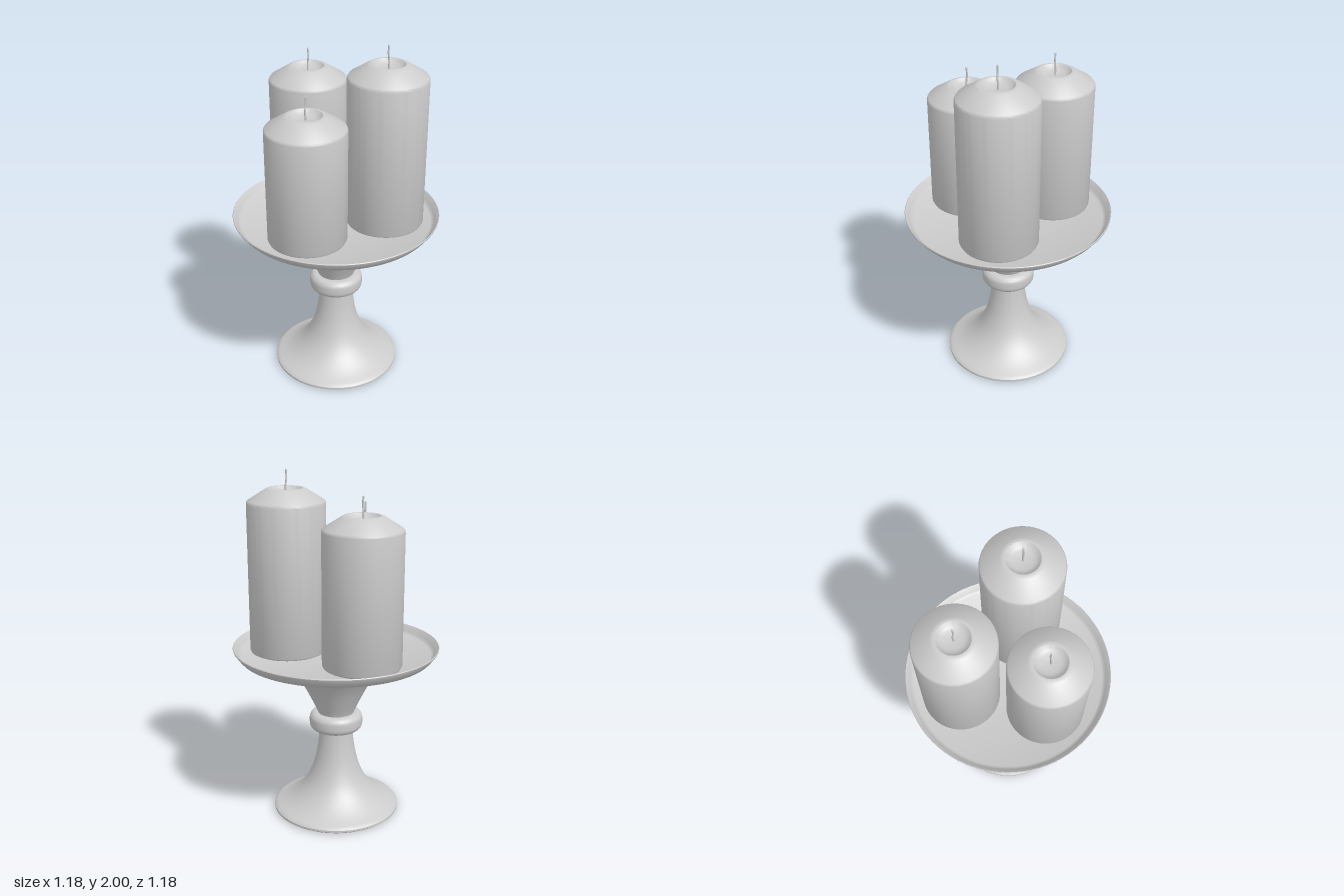
import * as THREE from 'three';
import { toCreasedNormals } from 'three/addons/utils/BufferGeometryUtils.js';

const material = new THREE.MeshStandardMaterial({ color: 0xcccccc });

// Surface of revolution from [radius, height] pairs, listed bottom to top on the outside
function lathe(name, points, segments = 80) {
  const profile = points.map(([r, y]) => new THREE.Vector2(r, y));
  const geometry = toCreasedNormals(new THREE.LatheGeometry(profile, segments), 0.6);
  const mesh = new THREE.Mesh(geometry, material);
  mesh.name = name;
  return mesh;
}

// Smooth curve through a few [radius, height] pairs
function smooth(points, count = 24) {
  const curve = new THREE.SplineCurve(points.map(([r, y]) => new THREE.Vector2(r, y)));
  return curve.getPoints(count).map((p) => [p.x, p.y]);
}

const FLOOR = 0.972; // inner floor of the plate

function createCandle(name, x, z, top, turn) {
  const candle = new THREE.Group();
  candle.name = name;
  candle.position.set(x, 0, z);

  // Wax body: rounded base, sloping shoulder, melted hollow around the wick
  const wax = lathe('wax', [
    [0, FLOOR], [0.205, FLOOR], [0.215, FLOOR + 0.005], [0.22, FLOOR + 0.015],
    [0.22, top - 0.085], [0.218, top - 0.077], [0.212, top - 0.069],
    [0.115, top - 0.008], [0.1, top - 0.001], [0.09, top - 0.002],
    [0.08, top - 0.012], [0.068, top - 0.022], [0.05, top - 0.028], [0, top - 0.03],
  ], 64);

  // Slightly bent wick
  const path = new THREE.CatmullRomCurve3([
    [0, -0.035, 0], [0.001, 0.01, 0], [-0.004, 0.055, 0.002], [-0.002, 0.095, 0],
  ].map(([px, py, pz]) => new THREE.Vector3(px, top + py, pz)));
  const wick = new THREE.Mesh(new THREE.TubeGeometry(path, 12, 0.005, 8), material);
  wick.name = 'wick';
  wick.rotation.y = turn;
  const tip = new THREE.Mesh(new THREE.SphereGeometry(0.005, 8, 6), material);
  tip.name = 'wickTip';
  tip.position.set(-0.002, top + 0.095, 0);
  wick.add(tip);

  candle.add(wax, wick);
  return candle;
}

export function createModel() {
  const model = new THREE.Group();
  model.name = 'candleStand';

  // Flared foot with a shallow hollow underneath
  model.add(lathe('foot', [
    [0, 0.018], [0.09, 0.018], [0.25, 0.008], [0.33, 0.002], [0.36, 0.002], [0.37, 0.01], [0.37, 0.022],
    ...smooth([[0.365, 0.028], [0.29, 0.065], [0.222, 0.12], [0.17, 0.19],
      [0.133, 0.28], [0.112, 0.37], [0.101, 0.45], [0.095, 0.53]]),
  ]));

  // Rounded collar between foot and bowl
  const collar = [[0.09, 0.505]];
  for (const [cy, start] of [[0.54, -90], [0.572, 0]]) {
    for (let i = 0; i <= 6; i++) {
      const a = THREE.MathUtils.degToRad(start + i * 15);
      collar.push([0.118 + 0.037 * Math.cos(a), cy + 0.037 * Math.sin(a)]);
    }
  }
  collar.push([0.09, 0.609]);
  model.add(lathe('collar', collar));

  // Trumpet-shaped support
  model.add(lathe('support', smooth([[0.1, 0.59], [0.112, 0.625], [0.152, 0.71], [0.195, 0.79],
    [0.25, 0.865], [0.34, 0.92], [0.45, 0.946], [0.545, 0.958]])));

  // Plate with a sloping raised rim
  model.add(lathe('plate', [
    [0.1, 0.958], [0.535, 0.957], [0.55, 0.962], [0.562, 0.975], [0.588, 1.01], [0.589, 1.016],
    [0.586, 1.02], [0.581, 1.016], [0.562, 0.988], [0.553, 0.978], [0.542, FLOOR], [0, FLOOR],
  ]));

  model.add(createCandle('tallCandle', 0.273, 0.048, 1.905, 0));
  model.add(createCandle('mediumCandle', -0.137, -0.253, 1.802, 2));
  model.add(createCandle('shortCandle', -0.174, 0.228, 1.703, 4));
  return model;
}
